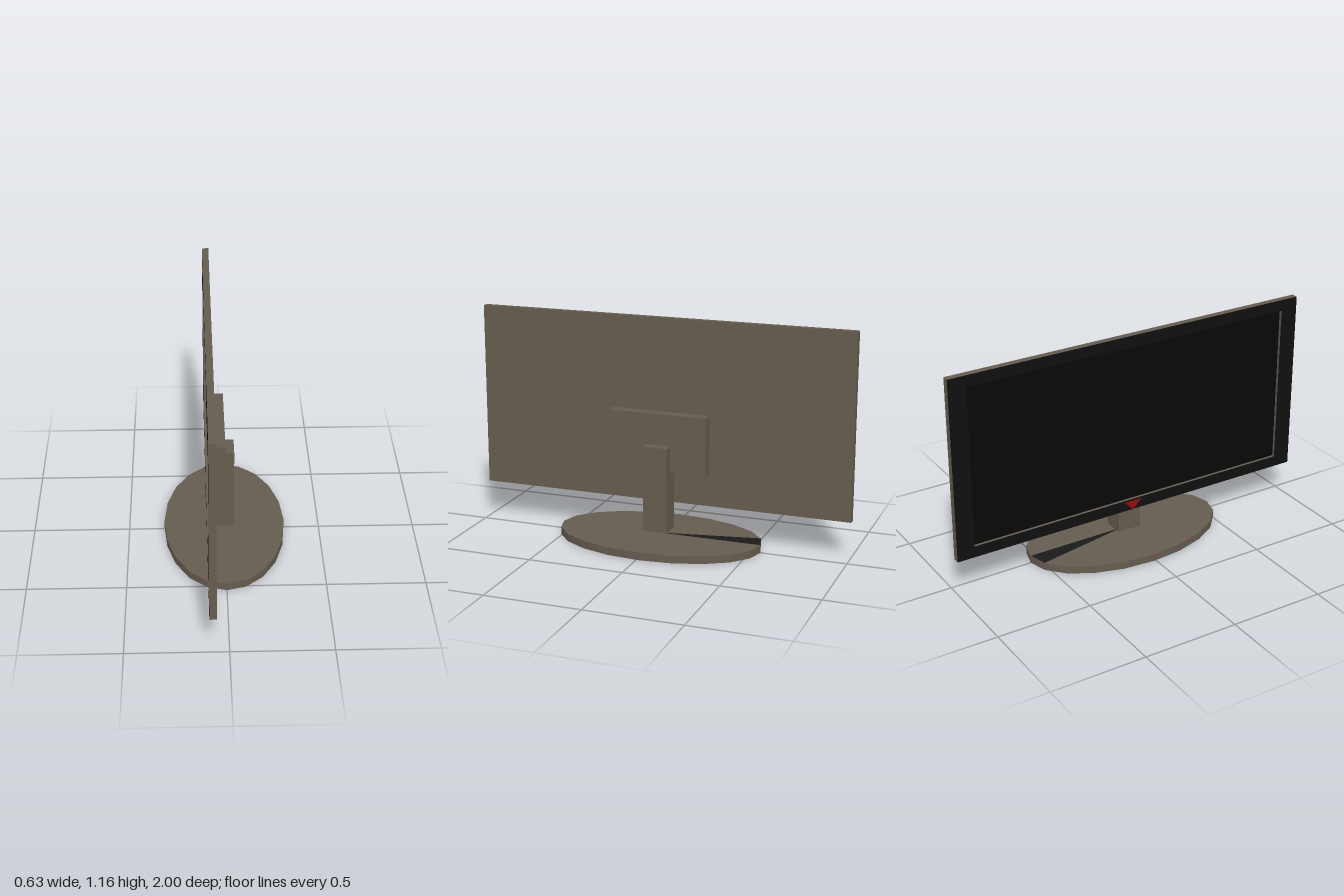
import * as THREE from 'three';

const material = (color) => new THREE.MeshStandardMaterial({ color });
const casing = material(0x665c50);
const bezelBlack = material(0x111010);
const screenBlack = material(0x080808);
const markBlack = material(0x1a1a1a);
const red = material(0x990c0c);

function add(group, name, geometry, mat) {
  const mesh = new THREE.Mesh(geometry, mat);
  mesh.name = name;
  group.add(mesh);
  return mesh;
}

// Box given by its limits on each axis
function box(group, name, [x0, x1], [y0, y1], [z0, z1]) {
  const mesh = add(group, name, new THREE.BoxGeometry(x1 - x0, y1 - y0, z1 - z0), casing);
  mesh.position.set((x0 + x1) / 2, (y0 + y1) / 2, (z0 + z1) / 2);
}

const polygon = (points) => new THREE.Shape(points.map(([a, b]) => new THREE.Vector2(a, b)));
const rectangle = (a, b0, b1) => polygon([[-a, b0], [a, b0], [a, b1], [-a, b1]]);

export function createModel() {
  const model = new THREE.Group();
  model.name = 'monitor';

  const front = -0.095, recess = -0.079, back = -0.06;
  const bottom = 0.195, top = 1.16;

  // Display: rear shell, bezel frame with a black face, recessed screen (facing -x)
  const display = new THREE.Group();
  display.name = 'display';
  model.add(display);
  box(display, 'rearShell', [recess, back], [bottom, top], [-1, 1]);

  const frame = rectangle(1, bottom, top);
  frame.holes.push(rectangle(0.905, bottom + 0.06, top - 0.06));
  const frameGeometry = new THREE.ExtrudeGeometry(frame, { depth: recess - front, bevelEnabled: false });
  add(display, 'bezel', frameGeometry.rotateY(-Math.PI / 2), [bezelBlack, casing]).position.x = recess;

  const screen = new THREE.ShapeGeometry(rectangle(0.905, bottom + 0.06, top - 0.06));
  add(display, 'screen', screen.rotateY(-Math.PI / 2), screenBlack).position.x = recess - 0.001;

  // Red triangular indicator at the bottom of the bezel
  const light = new THREE.ShapeGeometry(polygon([[0, bottom], [0.052, bottom + 0.05], [-0.052, bottom + 0.05]]));
  add(display, 'indicator', light.rotateY(-Math.PI / 2), red).position.x = front - 0.001;

  // Stand: mounting block, post and oval foot
  box(model, 'mountBlock', [back, 0], [0.37, 0.675], [-0.255, 0.27]);
  box(model, 'post', [back, 0.05], [0.06, 0.51], [-0.065, 0.065]);

  const rx = 0.315, rz = 0.543, height = 0.04, centerZ = -0.01;
  const foot = new THREE.CylinderGeometry(1, 1, height, 20).scale(rx, 1, rz);
  add(model, 'foot', foot, casing).position.set(0, height / 2, centerZ);

  // Dark wedge on the foot: one of its twenty sectors
  const angle = Math.PI / 10;
  const wedge = new THREE.ShapeGeometry(polygon([[0, 0], [0, rz], [-rx * Math.sin(angle), rz * Math.cos(angle)]]));
  add(model, 'footWedge', wedge.rotateX(-Math.PI / 2), markBlack).position.set(0, height + 0.001, centerZ);

  return model;
}
